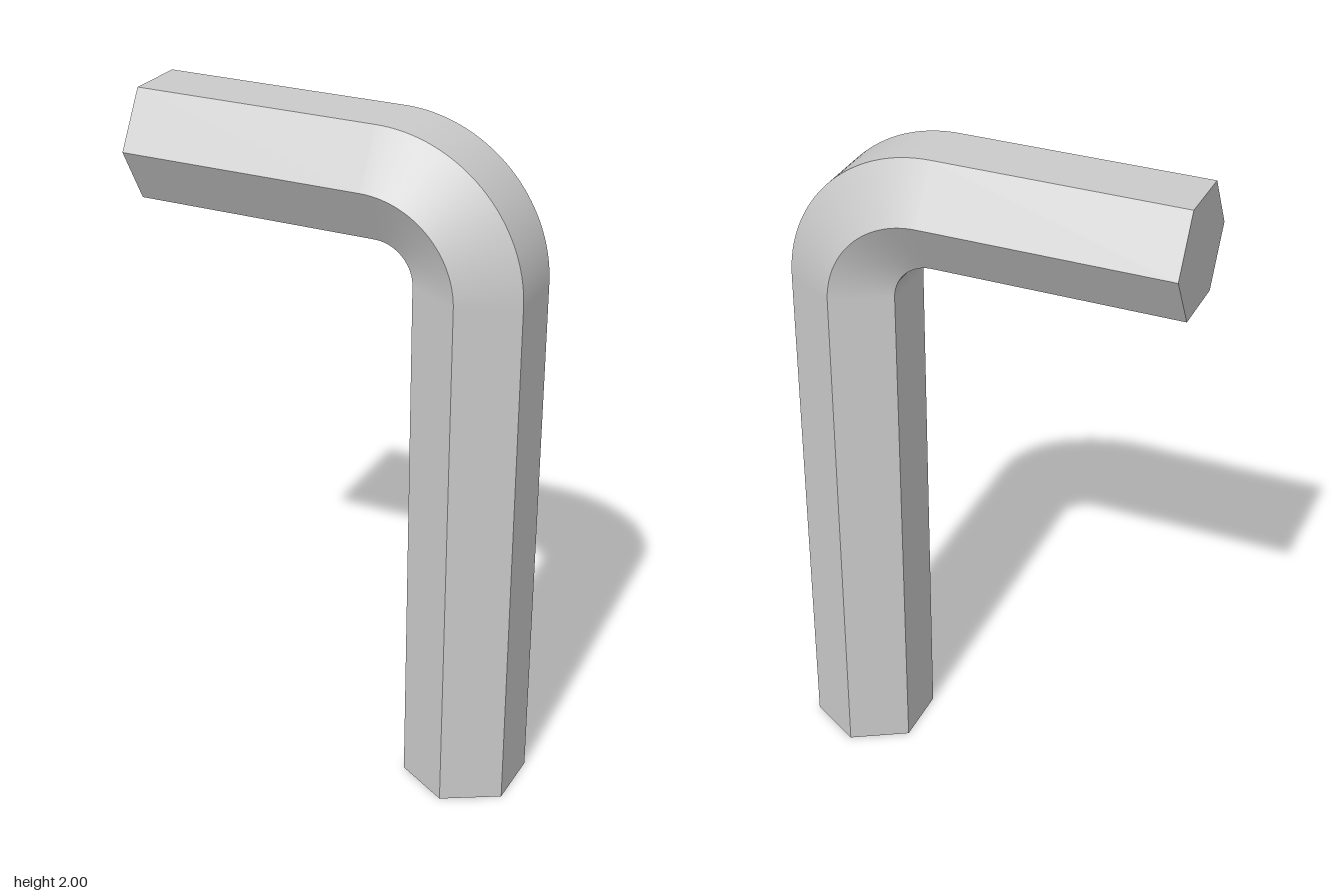
import * as THREE from 'three';

const RADIUS = 0.183;            // hexagon corner radius
const FLAT = RADIUS * Math.cos(Math.PI / 6);
const BEND = 0.272;              // centreline bend radius
const CX = 0.574 - FLAT - BEND;  // bend centre
const CY = 2 - FLAT - BEND;
const STEPS = 32;

// Stations along the centreline: foot, quarter bend, end of the short arm
function stations() {
  const list = [{ x: CX + BEND, y: 0, t: 0 }];
  for (let i = 0; i <= STEPS; i++) {
    const t = (i / STEPS) * Math.PI / 2;
    list.push({ x: CX + BEND * Math.cos(t), y: CY + BEND * Math.sin(t), t });
  }
  list.push({ x: -0.575, y: CY + BEND, t: Math.PI / 2 });
  return list;
}

const corner = k => Math.PI / 6 + k * Math.PI / 3;
const direction = (s, a) =>
  new THREE.Vector3(Math.cos(a) * Math.cos(s.t), Math.cos(a) * Math.sin(s.t), Math.sin(a));
const point = (s, k) =>
  direction(s, corner(k)).multiplyScalar(RADIUS).add(new THREE.Vector3(s.x, s.y, 0));

// Hexagonal bar: each flat is smooth along the bend, with sharp edges between flats
function hexBar(path) {
  const pos = [], nor = [], idx = [];
  const add = (p, n) => {
    pos.push(...p.toArray());
    nor.push(...n.toArray());
  };
  for (let k = 0; k < 6; k++) {
    const base = pos.length / 3;
    path.forEach((s, i) => {
      const n = direction(s, corner(k + 0.5));
      add(point(s, k), n);
      add(point(s, k + 1), n);
      if (i > 0) {
        const a = base + 2 * (i - 1);
        idx.push(a, a + 2, a + 1, a + 1, a + 2, a + 3);
      }
    });
  }
  // Flat end caps
  const caps = [
    [path[0], new THREE.Vector3(0, -1, 0), false],
    [path[path.length - 1], new THREE.Vector3(-1, 0, 0), true],
  ];
  for (const [s, n, flip] of caps) {
    const base = pos.length / 3;
    for (let k = 0; k < 6; k++) add(point(s, k), n);
    for (let k = 1; k < 5; k++) {
      idx.push(base, base + (flip ? k + 1 : k), base + (flip ? k : k + 1));
    }
  }
  const geo = new THREE.BufferGeometry();
  geo.setAttribute('position', new THREE.Float32BufferAttribute(pos, 3));
  geo.setAttribute('normal', new THREE.Float32BufferAttribute(nor, 3));
  geo.setIndex(idx);
  return geo;
}

export function createModel() {
  const group = new THREE.Group();
  group.name = 'hexKey';
  const bar = new THREE.Mesh(hexBar(stations()), new THREE.MeshStandardMaterial({ color: 0xcccccc }));
  bar.name = 'bentHexBar';
  group.add(bar);
  return group;
}
